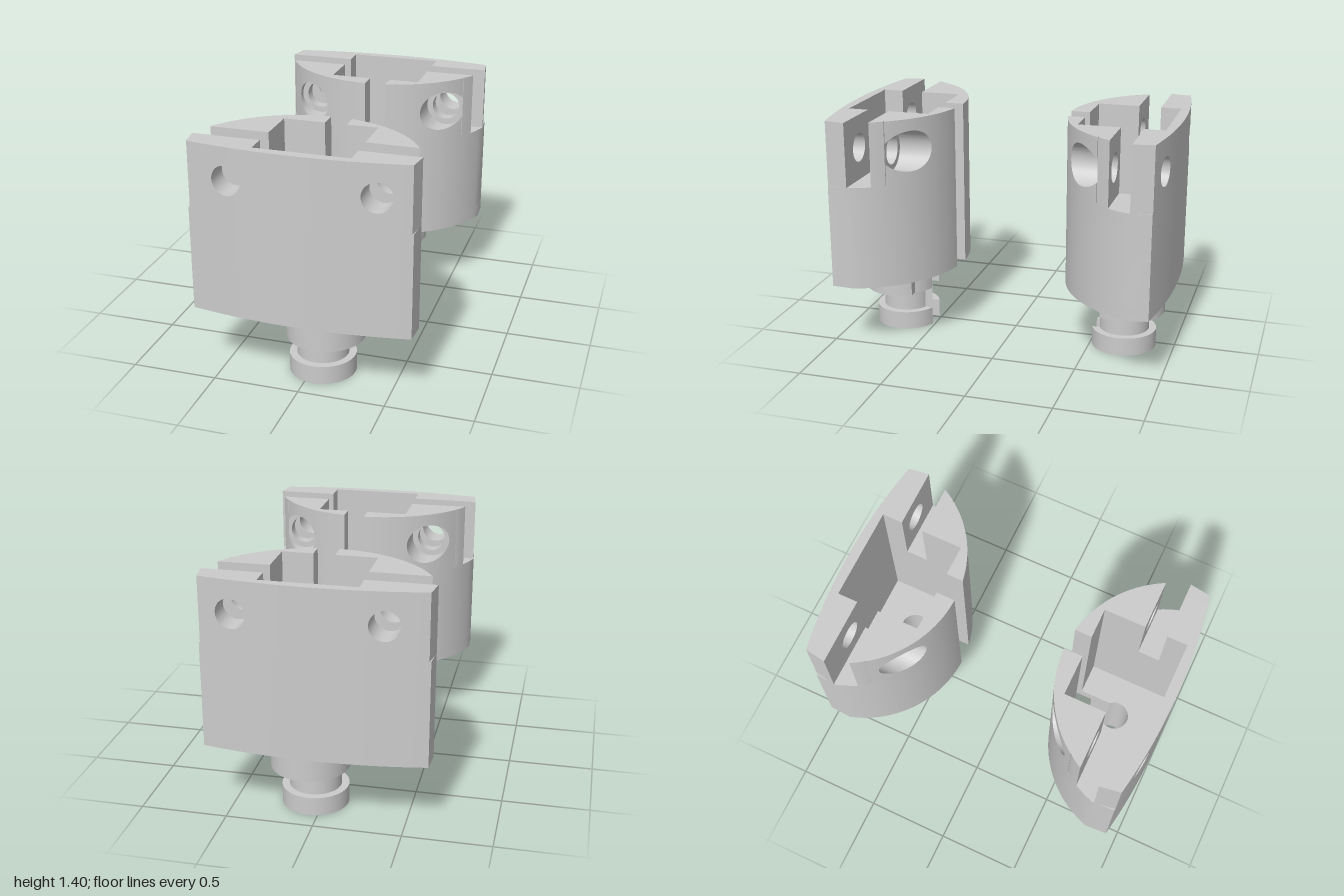
import * as THREE from 'three';
import { toCreasedNormals, mergeGeometries } from 'three/addons/utils/BufferGeometryUtils.js';

const SLOT = [-0.01, 0.115];              // slot sides in x
const POCKET = [-0.25, 0.295];            // pocket sides in x
const POCKET_Z = [0.445, 0.94];
const KEY = { x: 0.052, z: 0.692, r: 0.085 };
const ARC = { z: 1.002, r: 0.667 };       // rounded inner face
const FLOOR = 0.48, LEDGE = 1.02, BASE = 0.405, TOP = 1.4;
const HOLE_Y = 1.21, HOLES = [-0.39, 0.44];

const innerZ = x => ARC.z - Math.sqrt(Math.max(0, ARC.r ** 2 - x * x));
const innerX = z => Math.sqrt(ARC.r ** 2 - (ARC.z - z) ** 2);
const outerZ = x => Math.abs(x) > 0.63
  ? 0.94 - (Math.abs(x) - 0.63) * 12
  : 1 - 0.06 * (x / 0.63) ** 2;
const range = (a, b, n) => Array.from({ length: n + 1 }, (_, i) => a + (b - a) * i / n);

// Points on a circle between two angles
const arc = (c, a, b, n = 48) =>
  range(a, b, n).map(t => [c.x + c.r * Math.cos(t), c.z + c.r * Math.sin(t)]);

// Angle at which a circle meets a vertical line on its inner side
const angleAtX = (c, x) => -Math.acos((x - c.x) / c.r);

// Disc outline from the right slot side round to the left one
const disc = c => arc(c, angleAtX(c, SLOT[1]), angleAtX(c, SLOT[0]) + 2 * Math.PI, 64);

// Keyhole edge, walked from the left slot side back to the right one
const keyhole = () => arc(KEY, angleAtX(KEY, SLOT[0]) + 2 * Math.PI, angleAtX(KEY, SLOT[1]), 32);

// Vertical extrusion of a plan given as [x, z] points
function plate(points, y0, y1) {
  const shape = new THREE.Shape(points.map(p => new THREE.Vector2(p[0], p[1])));
  const g = new THREE.ExtrudeGeometry(shape, { depth: y1 - y0, bevelEnabled: false });
  g.rotateX(Math.PI / 2).translate(0, y1, 0);
  g.deleteAttribute('uv');
  return g;
}

// Solid lofted along x; section(x) returns [y0, y1, z0, z1]
function loft(xs, section) {
  const pos = [];
  const rings = xs.map(x => {
    const [y0, y1, z0, z1] = section(x);
    return [[x, y0, z0], [x, y1, z0], [x, y1, z1], [x, y0, z1]];
  });
  const quad = (a, b, c, d) => pos.push(...a, ...b, ...c, ...a, ...c, ...d);
  for (let i = 0; i + 1 < rings.length; i++) {
    const A = rings[i], B = rings[i + 1];
    for (let j = 0; j < 4; j++) {
      const k = (j + 1) % 4;
      quad(A[j], A[k], B[k], B[j]);
    }
  }
  const first = rings[0], last = rings[rings.length - 1];
  quad(first[3], first[2], first[1], first[0]);
  quad(last[0], last[1], last[2], last[3]);
  const g = new THREE.BufferGeometry();
  g.setAttribute('position', new THREE.Float32BufferAttribute(pos, 3));
  g.computeVertexNormals();
  return g;
}

// Upper wall with a round bore along z, made of a part below and a part above
function boredWall(a, b, cx, r, z0, z1) {
  const bore = range(0, Math.PI, 24).map(t => cx + r * Math.cos(t)).filter(x => x > a && x < b);
  const xs = [...range(a, b, 20), ...bore].sort((p, q) => p - q)
    .filter((x, i, all) => i === 0 || x - all[i - 1] > 1e-5);
  const half = x => Math.sqrt(Math.max(0, r * r - (x - cx) ** 2));
  return [
    loft(xs, x => [LEDGE, HOLE_Y - half(x), z0(x), z1(x)]),
    loft(xs, x => [HOLE_Y + half(x), TOP, z0(x), z1(x)]),
  ];
}

// Body outline from the right slot side round to the left one
function bodyOutline() {
  return [
    ...range(SLOT[1], 0.638, 32).map(x => [x, innerZ(x)]),
    ...range(0.63, -0.63, 32).map(x => [x, outerZ(x)]),
    ...range(-0.638, SLOT[0], 32).map(x => [x, innerZ(x)]),
  ];
}

// All parts of one half, as name -> list of geometries
function halfParts() {
  const [pl, pr] = POCKET, [pz0, pz1] = POCKET_Z;

  // Lower body: floor with keyhole, then walls round the pocket
  const bodyFloor = [plate([...bodyOutline(), ...keyhole()], BASE, FLOOR)];
  const bodyWalls = [plate([...bodyOutline(),
    [SLOT[0], pz0], [pl, pz0], [pl, pz1], [pr, pz1], [pr, pz0], [SLOT[1], pz0]], FLOOR, LEDGE)];

  // Upper outer wall: thin behind the pocket, bored on each side
  const outerWall = [loft(range(pl, pr, 16), x => [LEDGE, TOP, pz1, outerZ(x)])];
  // Upper inner posts: lip beside the slot, counterbore, then screw hole
  const innerPosts = [];
  HOLES.forEach((cx, i) => {
    const span = (from, to) => i ? [from, to] : [-to, -from];
    const edge = Math.abs(POCKET[i]);
    outerWall.push(...boredWall(...span(edge, 0.64), cx, 0.085, () => 0.82, outerZ));
    innerPosts.push(
      loft(range(...(i ? [SLOT[1], pr] : [pl, SLOT[0]]), 12), x => [LEDGE, TOP, innerZ(x), pz0]),
      ...boredWall(...span(edge, innerX(0.615)), cx, 0.12, innerZ, () => 0.615),
      ...boredWall(...span(edge, innerX(0.69)), cx, 0.085,
        x => Math.max(innerZ(x), 0.615), () => 0.69));
  });

  // Stepped foot; the collar is wider towards the outside
  const foot = { x: 0.052, z: 0.697, r: 0.193 };
  const neck = { x: 0.052, z: 0.697, r: 0.15 };
  const wide = { x: 0.077, z: 0.715, r: 0.227 };
  const stepZ = 0.59;
  const sFoot = Math.asin((stepZ - foot.z) / foot.r);
  const sWide = Math.asin((stepZ - wide.z) / wide.r);
  const collar = [
    ...arc(foot, angleAtX(foot, SLOT[1]), sFoot, 12),
    ...arc(wide, sWide, Math.PI - sWide, 48),
    ...arc(foot, Math.PI - sFoot, angleAtX(foot, SLOT[0]) + 2 * Math.PI, 12),
  ];
  return {
    bodyFloor, bodyWalls, outerWall, innerPosts,
    footCollar: [plate([...collar, ...keyhole()], 0.24, BASE)],
    footNeck: [plate([...disc(neck), ...keyhole()], 0.11, 0.24)],
    footDisc: [plate([...disc(foot), ...keyhole()], 0, 0.11)],
  };
}

// Mirror in z and swap two corners of every triangle
function mirrorZ(g) {
  const m = g.clone().scale(1, 1, -1), p = m.attributes.position;
  const a = new THREE.Vector3(), b = new THREE.Vector3();
  for (let i = 0; i < p.count; i += 3) {
    a.fromBufferAttribute(p, i + 1);
    b.fromBufferAttribute(p, i + 2);
    p.setXYZ(i + 1, b.x, b.y, b.z);
    p.setXYZ(i + 2, a.x, a.y, a.z);
  }
  return m;
}

export function createModel() {
  const model = new THREE.Group();
  const material = new THREE.MeshStandardMaterial({ color: 0xcccccc });
  const front = new THREE.Group(), back = new THREE.Group();
  front.name = 'frontJaw';
  back.name = 'backJaw';
  for (const [name, list] of Object.entries(halfParts())) {
    const g = mergeGeometries(list);
    for (const [group, geo] of [[front, g], [back, mirrorZ(g)]]) {
      const mesh = new THREE.Mesh(toCreasedNormals(geo, 0.5), material);
      mesh.name = name;
      group.add(mesh);
    }
  }
  model.add(front, back);
  return model;
}
